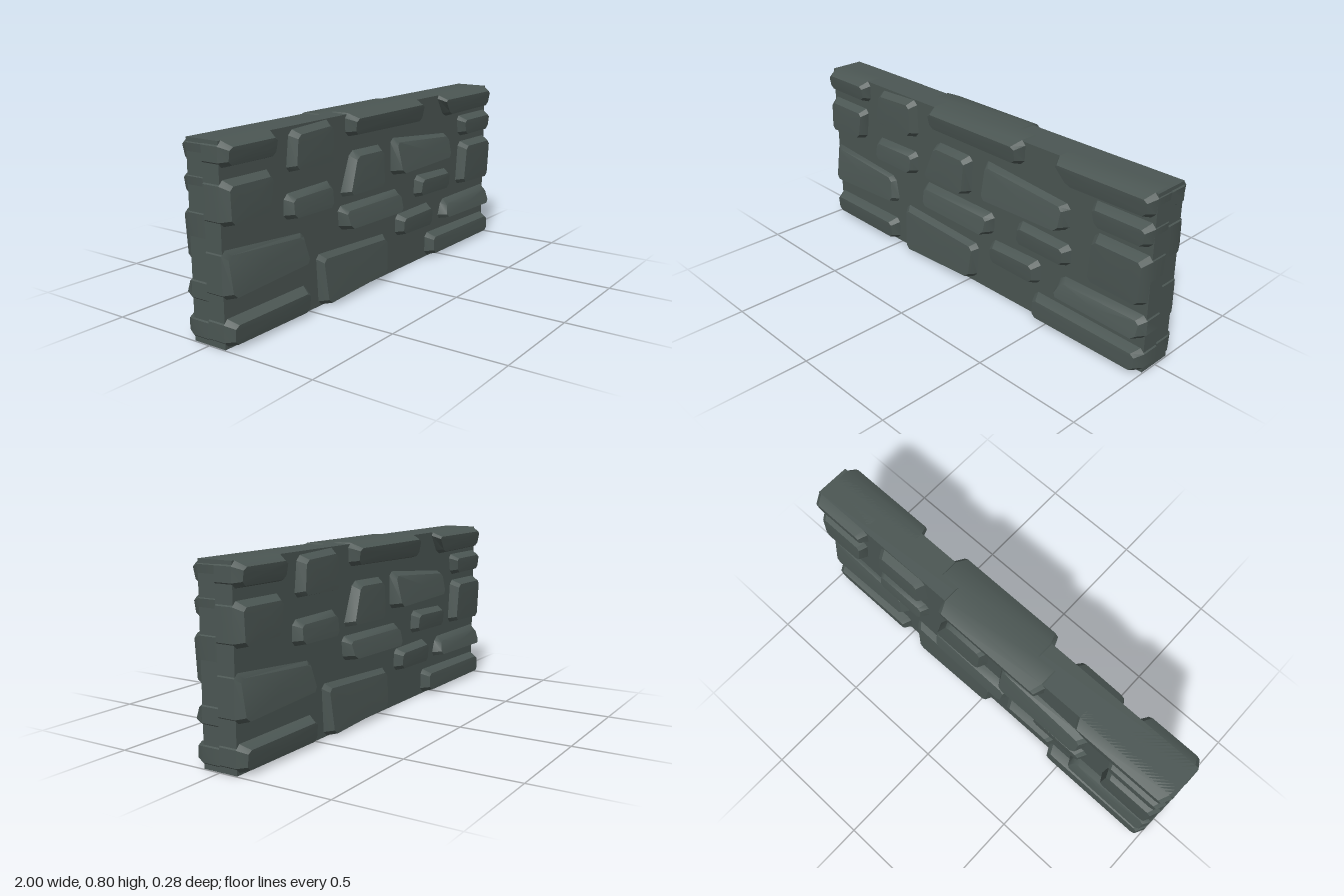
import * as THREE from 'three';
import { toCreasedNormals } from 'three/addons/utils/BufferGeometryUtils.js';

const stoneGrey = new THREE.MeshStandardMaterial({ color: 0x4b5653 });
stoneGrey.name = 'stoneGrey';

// Each stone: bottom-left, bottom-right, top-right, top-left (x, y), then depth at top and bottom
const courses = {
  topCourse: [
    [-1, 0.695, -0.7, 0.692, -0.695, 0.795, -1, 0.795, 0.125, 0.11],
    [-0.63, 0.615, -0.345, 0.612, -0.35, 0.792, -0.61, 0.78, 0.115, 0.12],
    [-0.24, 0.7, 0.33, 0.69, 0.335, 0.8, -0.245, 0.8, 0.135, 0.115],
    [0.57, 0.685, 0.99, 0.69, 1, 0.795, 0.5, 0.795, 0.125, 0.11],
  ],
  upperCourse: [
    [-1, 0.475, -0.745, 0.488, -0.72, 0.648, -1, 0.65, 0.115, 0.122],
    [-0.65, 0.425, -0.355, 0.42, -0.35, 0.535, -0.645, 0.53, 0.11, 0.125],
    [-0.285, 0.445, 0.01, 0.44, 0.02, 0.63, -0.21, 0.635, 0.115, 0.128],
    [0.105, 0.47, 0.585, 0.48, 0.59, 0.6, 0.1, 0.645, 0.1, 0.14],
    [0.72, 0.565, 0.99, 0.565, 1, 0.67, 0.7, 0.67, 0.122, 0.115],
  ],
  middleCourse: [
    [-1, 0.195, -0.505, 0.218, -0.53, 0.35, -1, 0.388, 0.09, 0.122],
    [-0.29, 0.3, 0.155, 0.292, 0.16, 0.4, -0.3, 0.407, 0.11, 0.14],
    [0.3, 0.325, 0.6, 0.318, 0.605, 0.42, 0.31, 0.432, 0.12, 0.112],
    [0.7, 0.318, 0.99, 0.308, 1, 0.532, 0.72, 0.535, 0.125, 0.12],
  ],
  lowerCourse: [
    [0.145, 0.17, 0.44, 0.163, 0.44, 0.277, 0.145, 0.273, 0.122, 0.115],
    [0.525, 0.17, 1, 0.16, 1, 0.265, 0.56, 0.265, 0.1, 0.135],
  ],
  bottomCourse: [
    [-1, 0.01, -0.515, 0.008, -0.515, 0.122, -1, 0.12, 0.125, 0.115],
    [-0.435, 0.003, 0.045, 0.025, 0.06, 0.205, -0.45, 0.232, 0.105, 0.125],
    [0.41, 0.008, 1, 0.006, 1, 0.11, 0.41, 0.122, 0.12, 0.125],
  ],
};

// Quadrilateral block with cut corners, a sloping rim and a gently domed, tilted face
function stoneGeometry(row) {
  const corners = [0, 2, 4, 6].map((i) => new THREE.Vector2(row[i], row[i + 1]));
  const [topDepth, bottomDepth] = row.slice(8);
  const outline = [];
  corners.forEach((c, i) => {
    for (const other of [corners[(i + 3) % 4], corners[(i + 1) % 4]]) {
      const step = other.clone().sub(c).setLength(0.02);
      outline.push(c.clone().add(step));
    }
  });
  const box = new THREE.Box2().setFromPoints(corners);
  const mid = box.getCenter(new THREE.Vector2());
  const size = box.getSize(new THREE.Vector2());
  const depthAt = (y) => THREE.MathUtils.lerp(bottomDepth, topDepth, (y - box.min.y) / size.y);

  const n = outline.length;
  const verts = [];
  for (const z of [0, 0.08]) outline.forEach((p) => verts.push(p.x, p.y, z));
  for (const p of outline) {
    const x = mid.x + (p.x - mid.x) * (1 - 0.044 / size.x);
    const inset = p.y > mid.y ? 0.022 : 0.01;
    const y = mid.y + (p.y - mid.y) * (1 - (2 * inset) / size.y);
    verts.push(x, y, depthAt(y));
  }
  verts.push(mid.x, mid.y, depthAt(mid.y) + 0.004);

  const index = [];
  for (let i = 0; i < n; i++) {
    const j = (i + 1) % n;
    for (const r of [0, n]) index.push(r + i, r + j, r + n + j, r + i, r + n + j, r + n + i);
    index.push(2 * n + i, 2 * n + j, 3 * n);
  }
  const geometry = new THREE.BufferGeometry();
  geometry.setAttribute('position', new THREE.Float32BufferAttribute(verts, 3));
  geometry.setIndex(index);
  return toCreasedNormals(geometry, 0.5);
}

export function createModel() {
  const wall = new THREE.Group();
  wall.name = 'stoneWall';

  // Mortar core
  const core = new THREE.Mesh(new THREE.BoxGeometry(1.99, 0.795, 0.16), stoneGrey);
  core.name = 'core';
  core.position.y = 0.3975;
  wall.add(core);

  // Stones on the front face
  const front = new THREE.Group();
  front.name = 'frontStones';
  for (const [name, rows] of Object.entries(courses)) {
    rows.forEach((row, i) => {
      const stone = new THREE.Mesh(stoneGeometry(row), stoneGrey);
      stone.name = `${name}Stone${i + 1}`;
      front.add(stone);
    });
  }
  wall.add(front);

  // The same stones turned round onto the back face
  const back = front.clone();
  back.name = 'backStones';
  back.rotation.y = Math.PI;
  wall.add(back);
  return wall;
}
